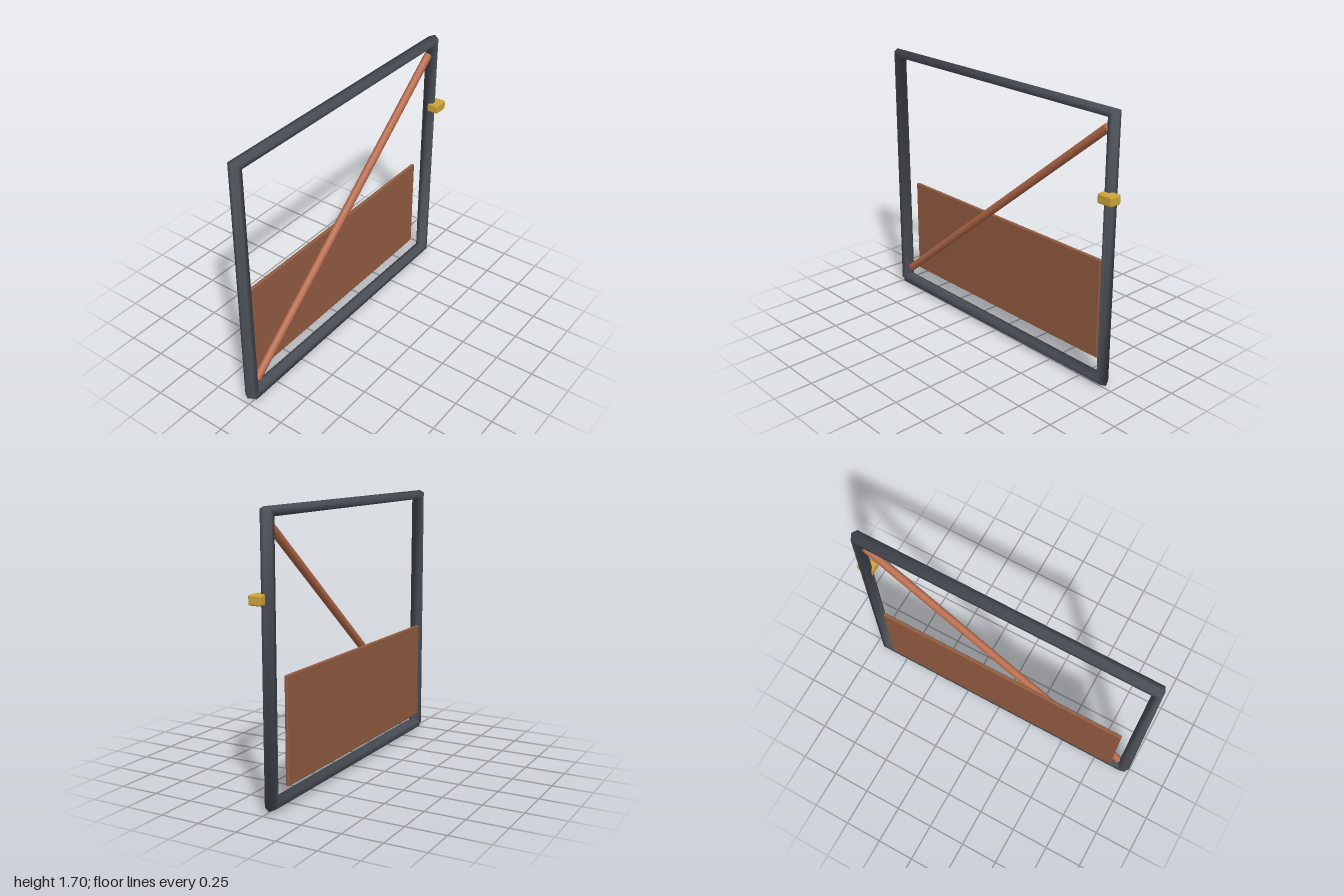
import * as THREE from 'three';
import { RoundedBoxGeometry } from 'three/addons/geometries/RoundedBoxGeometry.js';

const MID_Z = -0.011;

function material(name, color, extra = {}) {
  const m = new THREE.MeshStandardMaterial({ color, ...extra });
  m.name = name;
  return m;
}

// Six-sided tube swept round the rectangle, mitred at three corners and
// ending square where both ends meet at the fourth.
function frameGeometry(x0, x1, y0, y1, radius, sides = 6) {
  const h = Math.SQRT1_2;
  const rings = [ // centre x, centre y, outward direction x, y
    [x0, y0, 0, -1],
    [x1, y0, h, -h],
    [x1, y1, h, h],
    [x0, y1, -h, h],
    [x0, y0, -1, 0],
  ];
  const positions = [];
  const index = [];
  const addRing = ([cx, cy, ox, oy]) => {
    for (let j = 0; j < sides; j++) {
      const a = (j / sides) * Math.PI * 2;
      const r = radius * Math.cos(a);
      positions.push(cx + ox * r, cy + oy * r, MID_Z + radius * Math.sin(a));
    }
  };
  rings.forEach(addRing);
  for (let i = 0; i < rings.length - 1; i++) {
    for (let j = 0; j < sides; j++) {
      const a = i * sides + j;
      const b = i * sides + ((j + 1) % sides);
      index.push(a, a + sides, b, a + sides, b + sides, b);
    }
  }
  // Flat end caps with their own vertices
  const start = rings.length * sides;
  const end = start + sides;
  addRing(rings[0]);
  addRing(rings[rings.length - 1]);
  for (let j = 1; j < sides - 1; j++) {
    index.push(start, start + j, start + j + 1);
    index.push(end, end + j + 1, end + j);
  }
  const g = new THREE.BufferGeometry();
  g.setAttribute('position', new THREE.Float32BufferAttribute(positions, 3));
  g.setIndex(index);
  g.computeVertexNormals();
  return g;
}

export function createModel() {
  const model = new THREE.Group();
  model.name = 'gate';

  const steel = material('dark steel', 0x4a4f57);
  const copper = material('copper brown', 0xb5694a);
  const wood = material('panel brown', 0x935c40);
  const brass = material('brass', 0xcfa43a);

  const add = (name, geometry, mat, x = 0, y = 0, z = 0) => {
    const mesh = new THREE.Mesh(geometry, mat);
    mesh.name = name;
    mesh.position.set(x, y, z);
    model.add(mesh);
    return mesh;
  };

  // Outer frame
  add('frame', frameGeometry(-0.955, 0.922, 0.042, 1.67, 0.042), steel);

  // Diagonal brace from bottom hinge corner to top latch corner
  const from = new THREE.Vector3(-0.905, 0.132, MID_Z);
  const to = new THREE.Vector3(0.882, 1.585, MID_Z);
  const span = to.clone().sub(from);
  const brace = add('brace', new THREE.CylinderGeometry(0.026, 0.026, span.length(), 10), copper);
  brace.position.copy(from).addScaledVector(span, 0.5);
  brace.quaternion.setFromUnitVectors(new THREE.Vector3(0, 1, 0), span.normalize());

  // Lower panel fixed behind the frame
  add('lowerPanel', new RoundedBoxGeometry(1.705, 0.64, 0.023, 1, 0.008), wood, -0.018, 0.453, -0.0585);

  // Latch block on the free side
  add('latch', new RoundedBoxGeometry(0.104, 0.06, 0.08, 1, 0.01), brass, 0.946, 1.203, 0.031);

  return model;
}
